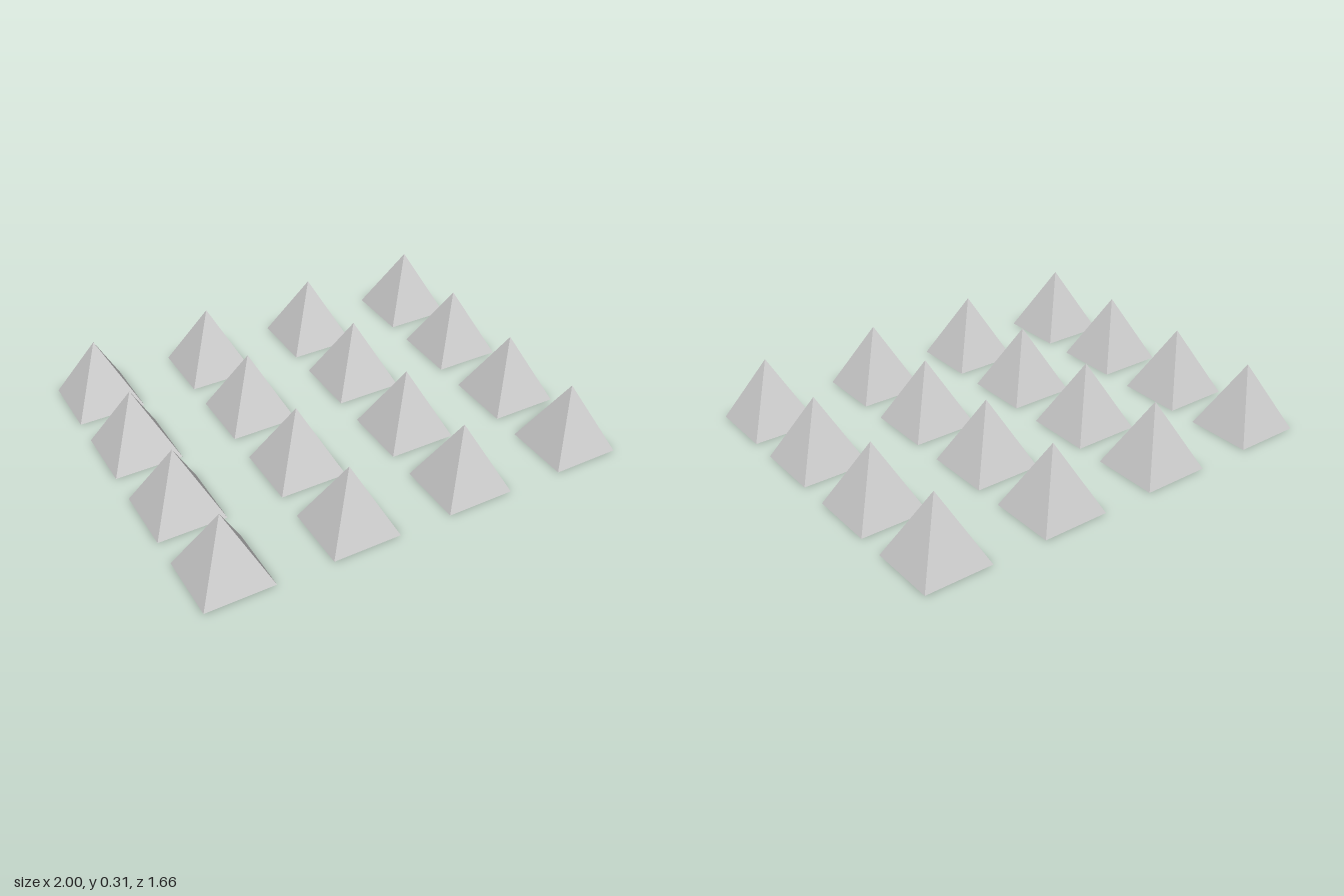
import * as THREE from 'three';

const SIDE = 0.312;
const HEIGHT = 0.313;
const COLUMNS = [-0.844, -0.277, 0.277, 0.844];
const ROWS = [-0.674, -0.23, 0.23, 0.674];

export function createModel() {
  const model = new THREE.Group();
  model.name = 'pyramidGrid';

  // Square pyramid with its base on the ground and its sides along the axes
  const geometry = new THREE.ConeGeometry(SIDE / Math.SQRT2, HEIGHT, 4);
  geometry.rotateY(Math.PI / 4);
  geometry.translate(0, HEIGHT / 2, 0);
  const material = new THREE.MeshStandardMaterial({ color: 0xcccccc, flatShading: true });

  // Four rows of four pyramids
  ROWS.forEach((z, row) => {
    COLUMNS.forEach((x, column) => {
      const pyramid = new THREE.Mesh(geometry, material);
      pyramid.name = `pyramidRow${row + 1}Column${column + 1}`;
      pyramid.position.set(x, 0, z);
      model.add(pyramid);
    });
  });

  return model;
}
